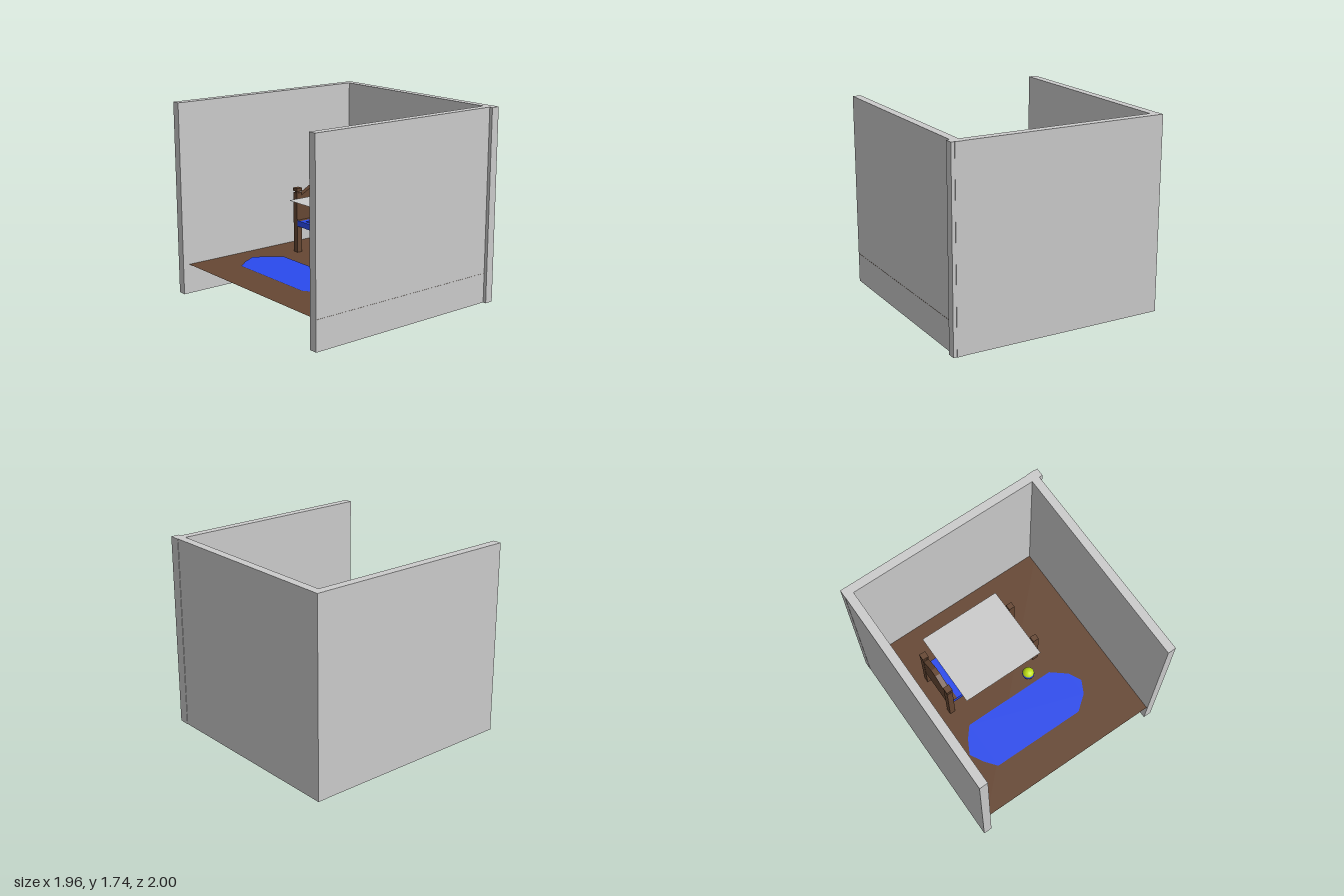
import * as THREE from 'three';

const mat = (color) => new THREE.MeshStandardMaterial({ color, side: THREE.DoubleSide, flatShading: true });

export function createModel() {
  const root = new THREE.Group();
  const grey = mat(0xcccccc);
  const wood = mat(0x664733);
  const blue = mat(0x2a4aee);
  const lime = mat(0xbfe015);

  const add = (name, geometry, material, parent = root) => {
    const mesh = new THREE.Mesh(geometry, material);
    mesh.name = name;
    parent.add(mesh);
    return mesh;
  };
  // Box from its minimum and maximum corners
  const box = (name, [x0, y0, z0], [x1, y1, z1], material, parent) => {
    const g = new THREE.BoxGeometry(x1 - x0, y1 - y0, z1 - z0);
    g.translate((x0 + x1) / 2, (y0 + y1) / 2, (z0 + z1) / 2);
    return add(name, g, material, parent);
  };
  // Horizontal rectangular sheet
  const sheet = (name, x0, x1, z0, z1, y, material, parent) => {
    const g = new THREE.PlaneGeometry(x1 - x0, z1 - z0).rotateX(-Math.PI / 2);
    g.translate((x0 + x1) / 2, y, (z0 + z1) / 2);
    return add(name, g, material, parent);
  };
  const outline = (points) => new THREE.Shape(points.map(([x, y]) => new THREE.Vector2(x, y)));

  // Room
  const H = 1.735;
  box('backWall', [-0.98, 0, -0.996], [0.975, H, -0.92], grey);
  box('leftWall', [-0.978, 0, -0.99], [-0.9, H, 1], grey);
  box('rightWall', [0.87, 0, -1], [0.944, H, 0.95], grey);
  sheet('floor', -0.9, 0.946, -0.92, 0.94, 0.27, wood);

  // Rug with pointed ends
  const rug = new THREE.ShapeGeometry(outline([
    [-0.71, 0.385], [-0.64, 0.255], [-0.555, 0.152], [0.336, 0.152], [0.475, 0.265],
    [0.537, 0.385], [0.475, 0.505], [0.336, 0.616], [-0.555, 0.616], [-0.64, 0.51],
  ]));
  rug.rotateX(Math.PI / 2).translate(0, 0.275, 0);
  add('rug', rug, blue);

  // Bed
  const bed = new THREE.Group();
  bed.name = 'bed';
  root.add(bed);
  box('mattress', [-0.6, 0.52, -0.465], [0.308, 0.575, -0.04], blue, bed);
  sheet('headRail', -0.6, -0.545, -0.465, -0.04, 0.577, wood, bed);

  // Padded cover rising over the mattress
  const cover = new THREE.ExtrudeGeometry(outline([
    [-0.5, 0.575], [0.225, 0.575], [0.1, 0.62], [-0.03, 0.645], [-0.27, 0.645], [-0.4, 0.622],
  ]), { depth: 0.36, bevelEnabled: false });
  cover.translate(0, 0, -0.43);
  add('cover', cover, blue, bed);

  // Posts: taller capped ones at the head, plain ones at the foot
  for (const z of [-0.438, -0.063]) {
    box('headPost', [-0.637, 0.27, z - 0.027], [-0.583, 0.835, z + 0.027], wood, bed);
    box('postNeck', [-0.628, 0.835, z - 0.018], [-0.592, 0.85, z + 0.018], wood, bed);
    box('postCap', [-0.64, 0.85, z - 0.03], [-0.58, 0.878, z + 0.03], wood, bed);
    box('footPost', [0.282, 0.27, z - 0.027], [0.338, 0.742, z + 0.027], wood, bed);
  }

  // Peaked headboard panel, drawn in (z, y) and turned to face along x
  const panel = new THREE.ExtrudeGeometry(outline([
    [0.035, 0.52], [0.465, 0.52], [0.465, 0.81], [0.41, 0.81], [0.285, 0.878], [0.22, 0.878], [0.09, 0.81], [0.035, 0.81],
  ]), { depth: 0.05, bevelEnabled: false });
  panel.rotateY(Math.PI / 2).translate(-0.635, 0, 0);
  add('headboard', panel, wood, bed);

  // Level sheet above the bed
  sheet('canopySheet', -0.525, 0.26, -0.6, 0.1, 0.8, grey);

  // Striped ball
  const ball = new THREE.Group();
  ball.name = 'ball';
  ball.position.set(0.162, 0.326, 0.063);
  root.add(ball);
  const cuts = [0, 0.37, 0.63, 1].map((t) => t * Math.PI);
  [lime, blue, lime].forEach((m, i) => add('ballBand',
    new THREE.SphereGeometry(0.056, 24, 6, 0, Math.PI * 2, cuts[i], cuts[i + 1] - cuts[i]), m, ball));

  return root;
}
